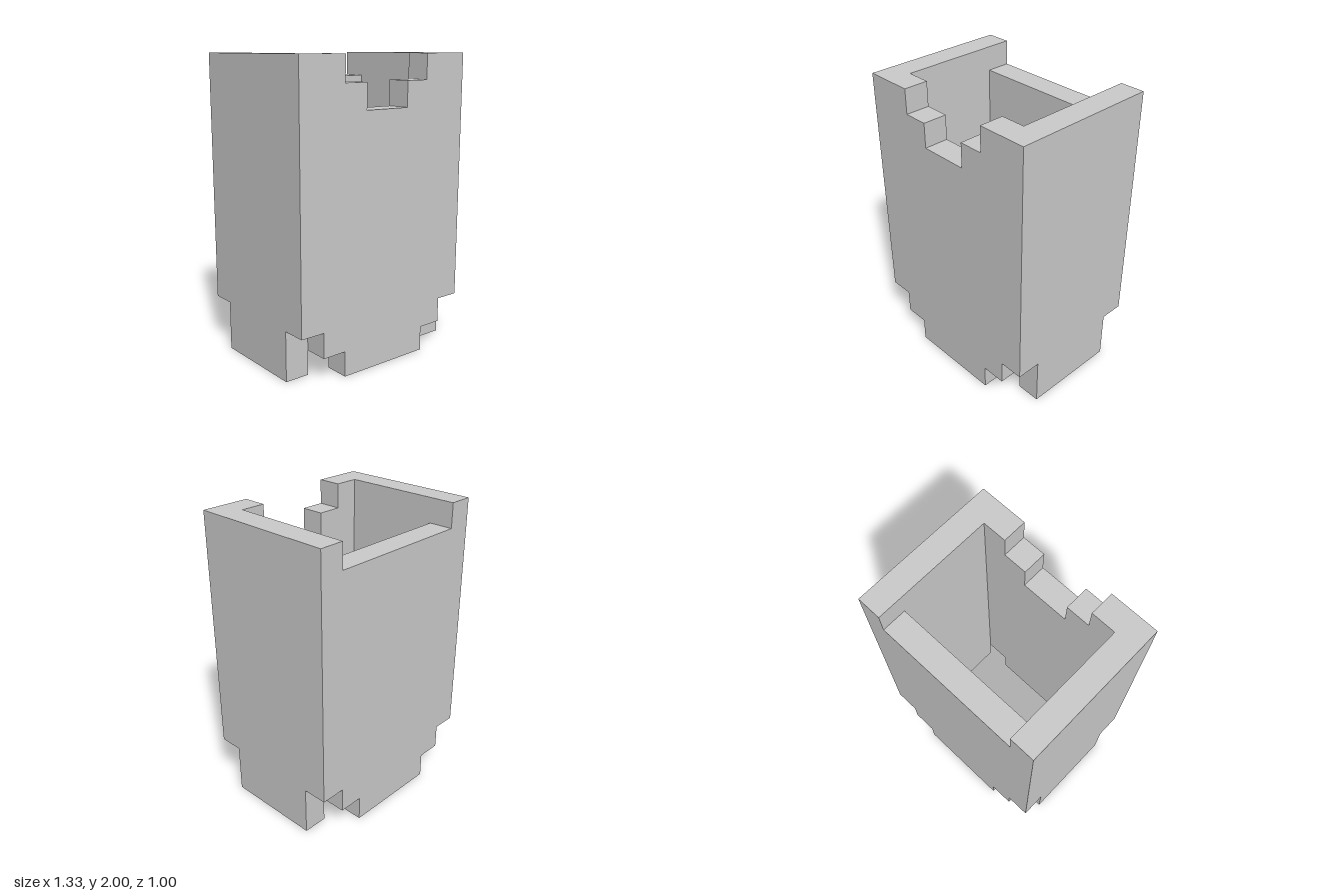
import * as THREE from 'three';

const U = 1 / 6; // wall thickness, the step size of every notch

export function createModel() {
  const group = new THREE.Group();
  const material = new THREE.MeshStandardMaterial({ color: 0xcccccc, flatShading: true });

  // Mirrors the +x half of an outline and extrudes it one step thick
  function addWall(name, half, z) {
    const mirrored = half.map(([x, y]) => [-x, y]).reverse();
    const points = [...half, ...mirrored].map(([x, y]) => new THREE.Vector2(x * U, y * U));
    const geometry = new THREE.ExtrudeGeometry(new THREE.Shape(points), { depth: U, bevelEnabled: false });
    const wall = new THREE.Mesh(geometry, material);
    wall.name = name;
    wall.position.z = z * U;
    group.add(wall);
  }

  // Stepped lower corners shared by the front and back walls
  const lowerSteps = [[2, 0], [2, 1], [3, 1], [3, 2], [4, 2], [4, 12]];

  // Front wall with a two-step notch, back wall with a wide shallow one
  addWall('frontWall', [...lowerSteps, [2, 12], [2, 11], [1, 11], [1, 10]], 2);
  addWall('backWall', [...lowerSteps, [3, 12], [3, 11]], -3);

  // Side walls reach the ground between the cut-out corners
  for (const [name, side] of [['leftWall', 1], ['rightWall', -1]]) {
    const wall = new THREE.Mesh(new THREE.BoxGeometry(U, 12 * U, 4 * U), material);
    wall.name = name;
    wall.position.set(side * 3.5 * U, 6 * U, 0);
    group.add(wall);
  }

  return group;
}
